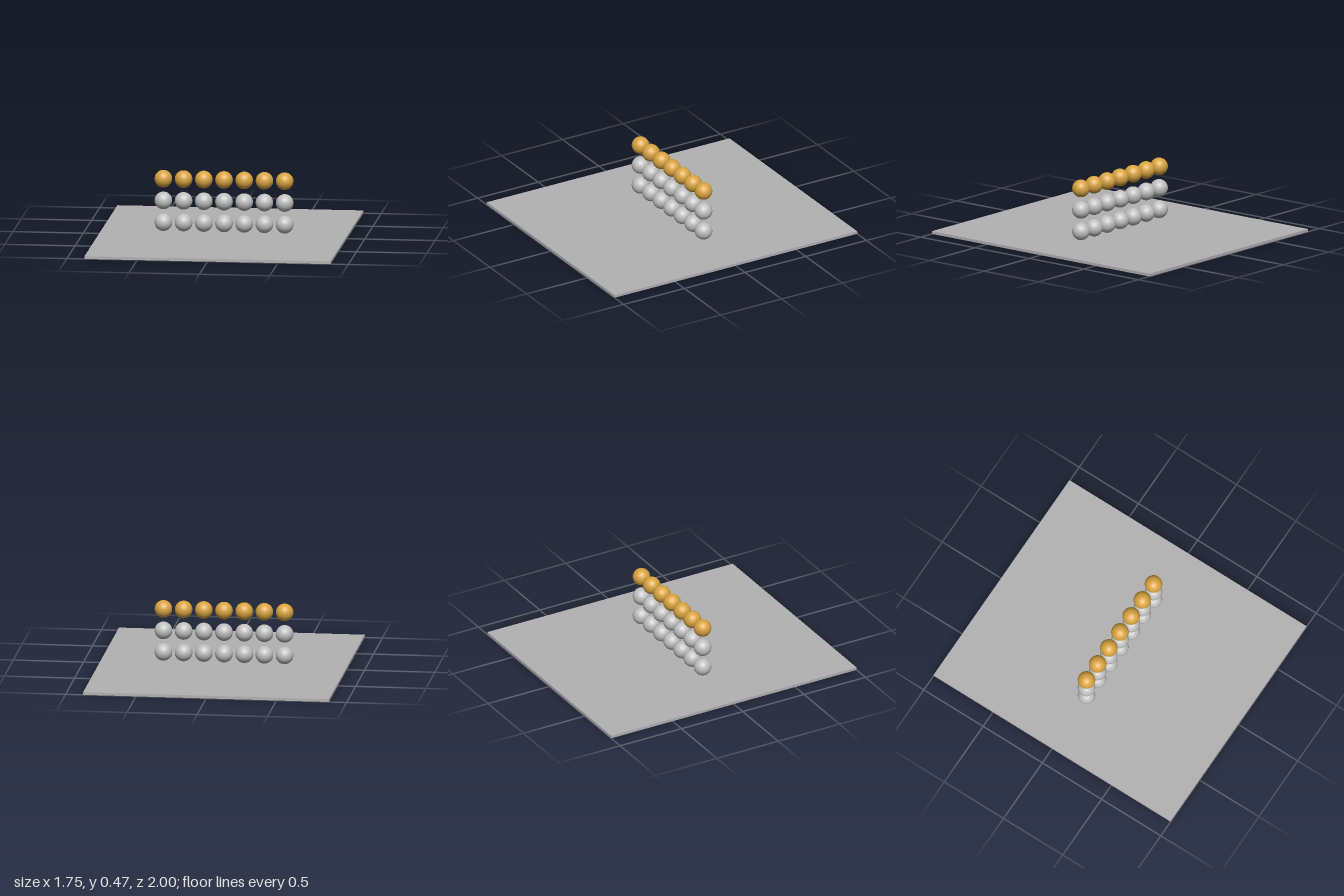
import * as THREE from 'three';

export function createModel() {
  const model = new THREE.Group();
  const plateGrey = new THREE.MeshStandardMaterial({ name: 'plateGrey', color: 0xb2b2b2 });
  const silver = new THREE.MeshStandardMaterial({ name: 'silver', color: 0xc0c0c0 });
  const gold = new THREE.MeshStandardMaterial({ name: 'gold', color: 0xd9a441 });

  // Thin ground plate
  const plate = new THREE.Mesh(new THREE.BoxGeometry(1.75, 0.02, 2), plateGrey);
  plate.name = 'basePlate';
  plate.position.y = 0.01;
  model.add(plate);

  // Three rows of seven floating balls, the top row gold
  const ball = new THREE.SphereGeometry(0.0625, 32, 24);
  const rows = [
    { name: 'lowerRow', y: 0.091, material: silver },
    { name: 'middleRow', y: 0.247, material: silver },
    { name: 'upperRow', y: 0.403, material: gold },
  ];
  for (const { name, y, material } of rows) {
    const row = new THREE.Group();
    row.name = name;
    row.position.y = y;
    for (let i = -3; i <= 3; i++) {
      const mesh = new THREE.Mesh(ball, material);
      mesh.name = 'ball';
      mesh.position.x = i * 0.1437;
      row.add(mesh);
    }
    model.add(row);
  }
  return model;
}
